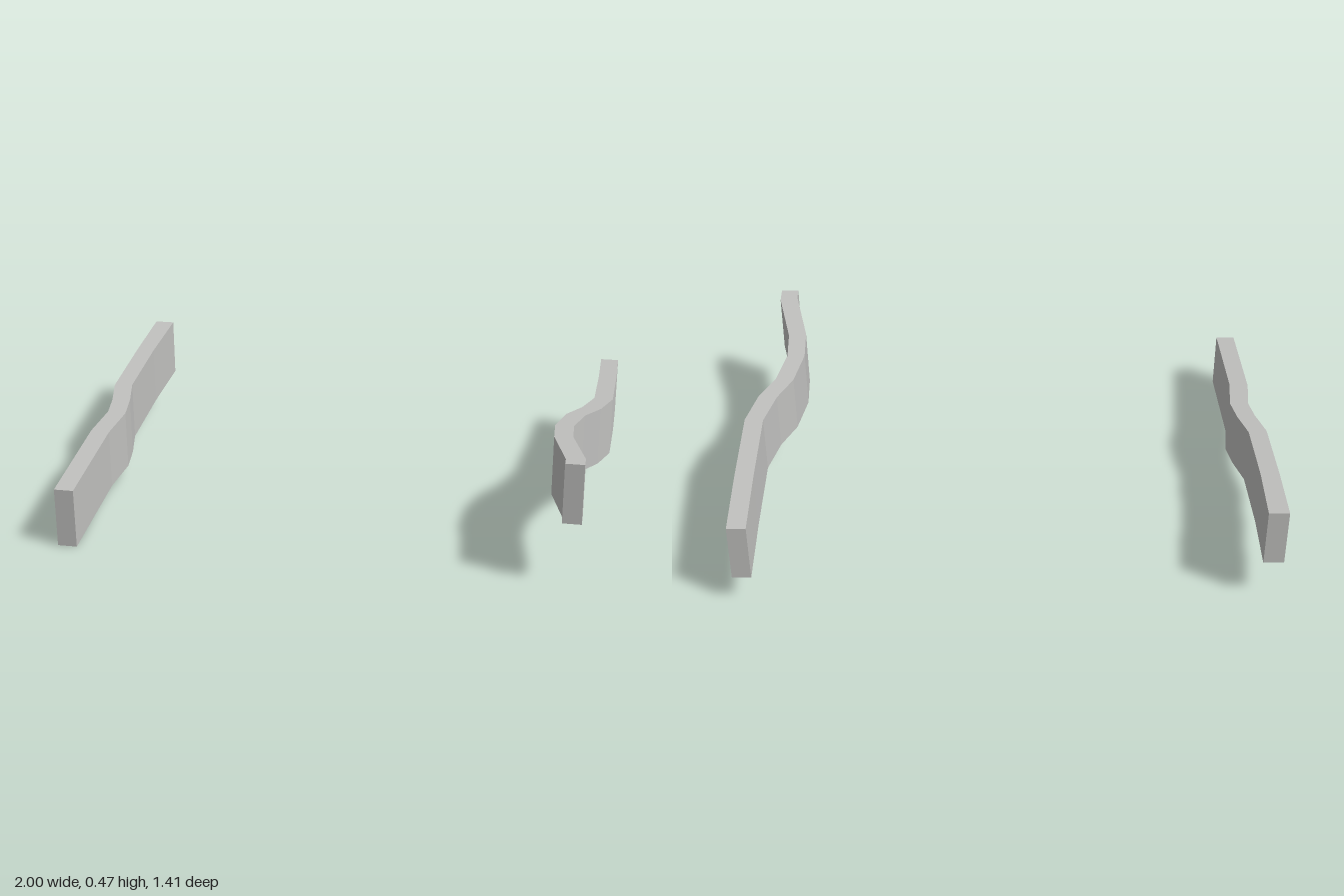
import * as THREE from 'three';

const HEIGHT = 0.225;
const HALF_LENGTH = 0.705;

// A bent rail: inner and outer edges as [x, z] from back to front,
// extruded upward, then sloped evenly from backY to frontY.
function makeRail(name, inner, outer, backY, frontY, material) {
  const outline = [...inner, ...[...outer].reverse()];
  const shape = new THREE.Shape(outline.map(([x, z]) => new THREE.Vector2(x, -z)));
  const geometry = new THREE.ExtrudeGeometry(shape, { depth: HEIGHT, bevelEnabled: false });
  geometry.rotateX(-Math.PI / 2);
  const p = geometry.attributes.position;
  for (let i = 0; i < p.count; i++) {
    const t = (p.getZ(i) + HALF_LENGTH) / (2 * HALF_LENGTH);
    p.setY(i, p.getY(i) + THREE.MathUtils.lerp(backY, frontY, t));
  }
  // Separate face corners keep every panel flat.
  const flat = geometry.index ? geometry.toNonIndexed() : geometry;
  flat.computeVertexNormals();
  const mesh = new THREE.Mesh(flat, material);
  mesh.name = name;
  return mesh;
}

export function createModel() {
  const group = new THREE.Group();
  group.name = 'bentRails';
  const grey = new THREE.MeshStandardMaterial({ color: 0xc0c0be });
  grey.name = 'light grey';

  // Left rail: strong inward bend, falling toward the back
  group.add(makeRail('leftRail',
    [[0.925, -0.705], [0.925, -0.43], [0.92, -0.12], [0.88, 0.015], [0.825, 0.12],
      [0.793, 0.27], [0.798, 0.41], [0.853, 0.655], [0.853, 0.705]],
    [[0.995, -0.705], [0.995, -0.43], [0.99, -0.115], [0.95, 0.025], [0.895, 0.125],
      [0.861, 0.27], [0.866, 0.4], [0.921, 0.64], [0.921, 0.705]],
    0.11, 0.245, grey));

  // Right rail: slight inward bend, rising toward the back
  group.add(makeRail('rightRail',
    [[-0.92, -0.705], [-0.93, -0.43], [-0.93, -0.12], [-0.902, 0.005], [-0.888, 0.115],
      [-0.907, 0.27], [-0.907, 0.705]],
    [[-0.995, -0.705], [-1, -0.43], [-1, -0.11], [-0.972, 0.015], [-0.96, 0.11],
      [-0.979, 0.265], [-0.979, 0.705]],
    0.16, 0, grey));

  return group;
}
